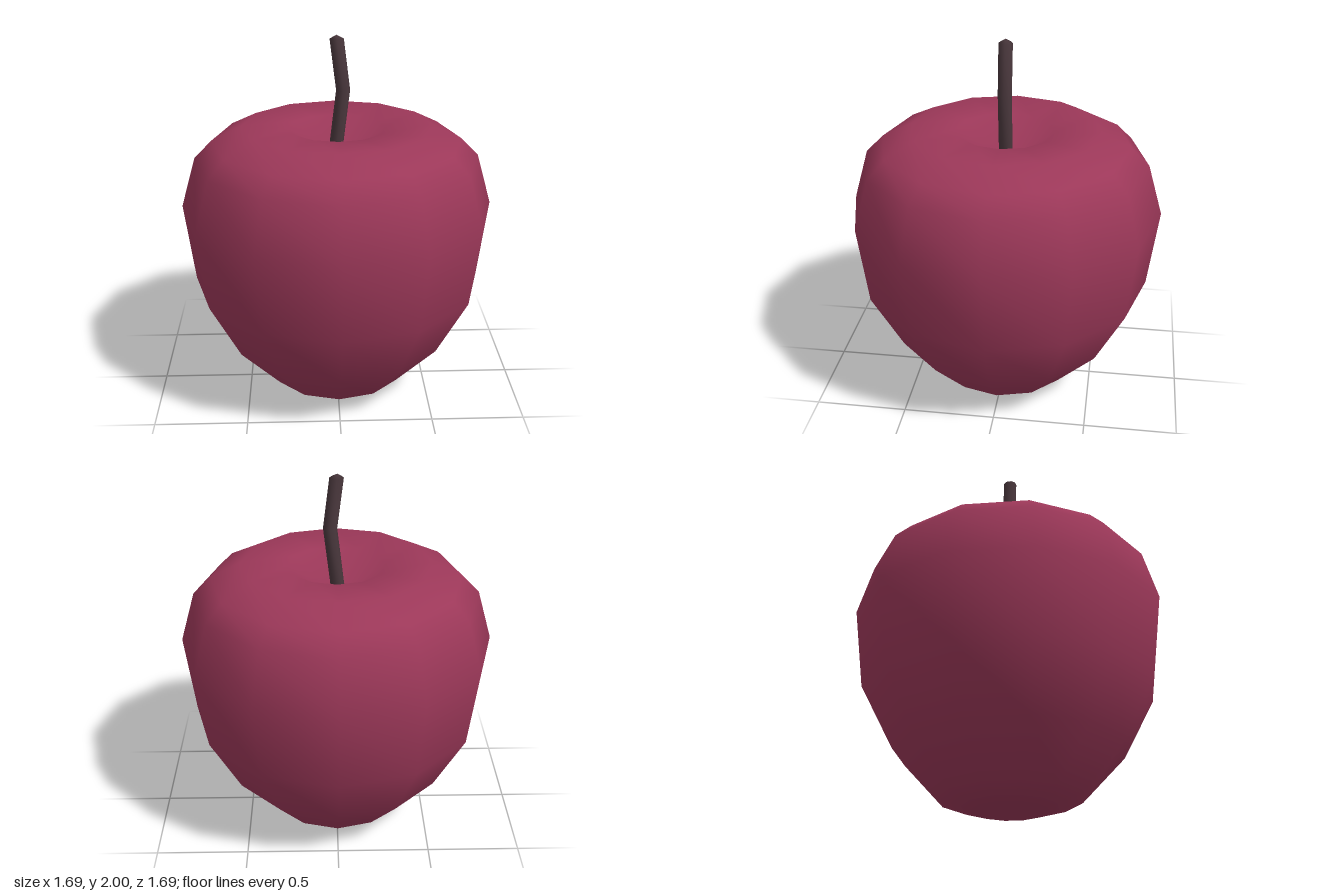
import * as THREE from 'three';
import { mergeVertices } from 'three/addons/utils/BufferGeometryUtils.js';

// Turned solid whose normals are smooth across the seam and the poles
function smoothLathe(profile, sides, move) {
  const points = profile.map(([r, y]) => new THREE.Vector2(r, y));
  let geometry = new THREE.LatheGeometry(points, sides);
  geometry.deleteAttribute('normal');
  geometry.deleteAttribute('uv');
  geometry = mergeVertices(geometry, 1e-4);
  if (move) move(geometry.attributes.position);
  geometry.computeVertexNormals();
  return geometry;
}

export function createModel() {
  const group = new THREE.Group();
  group.name = 'apple';

  const skin = new THREE.MeshStandardMaterial({ color: 0x9c3859 });
  skin.name = 'red skin';
  const bark = new THREE.MeshStandardMaterial({ color: 0x4a383d });
  bark.name = 'brown stem';

  // Twelve-sided fruit with a dimple at the bottom and the top
  const fruit = new THREE.Mesh(smoothLathe([
    [0, 0.06], [0.19, 0], [0.38, 0.06], [0.615, 0.31], [0.79, 0.64], [0.845, 1.07],
    [0.765, 1.345], [0.67, 1.44], [0.51, 1.52], [0.26, 1.505], [0, 1.34],
  ], 12), skin);
  fruit.name = 'fruit';
  group.add(fruit);

  // Stem: a thin post with a blunt tip, bent to one side at mid height
  const bendY = 1.71, bendX = 0.033;
  const stem = new THREE.Mesh(smoothLathe([
    [0, 1.3], [0.037, 1.3], [0.037, bendY], [0.037, 1.98], [0, 2],
  ], 8, (position) => {
    for (let i = 0; i < position.count; i++) {
      const rise = position.getY(i) - bendY;
      const lean = bendX - rise * (rise > 0 ? 0.125 : -0.12);
      position.setX(i, position.getX(i) + lean);
    }
  }), bark);
  stem.name = 'stem';
  group.add(stem);

  return group;
}
